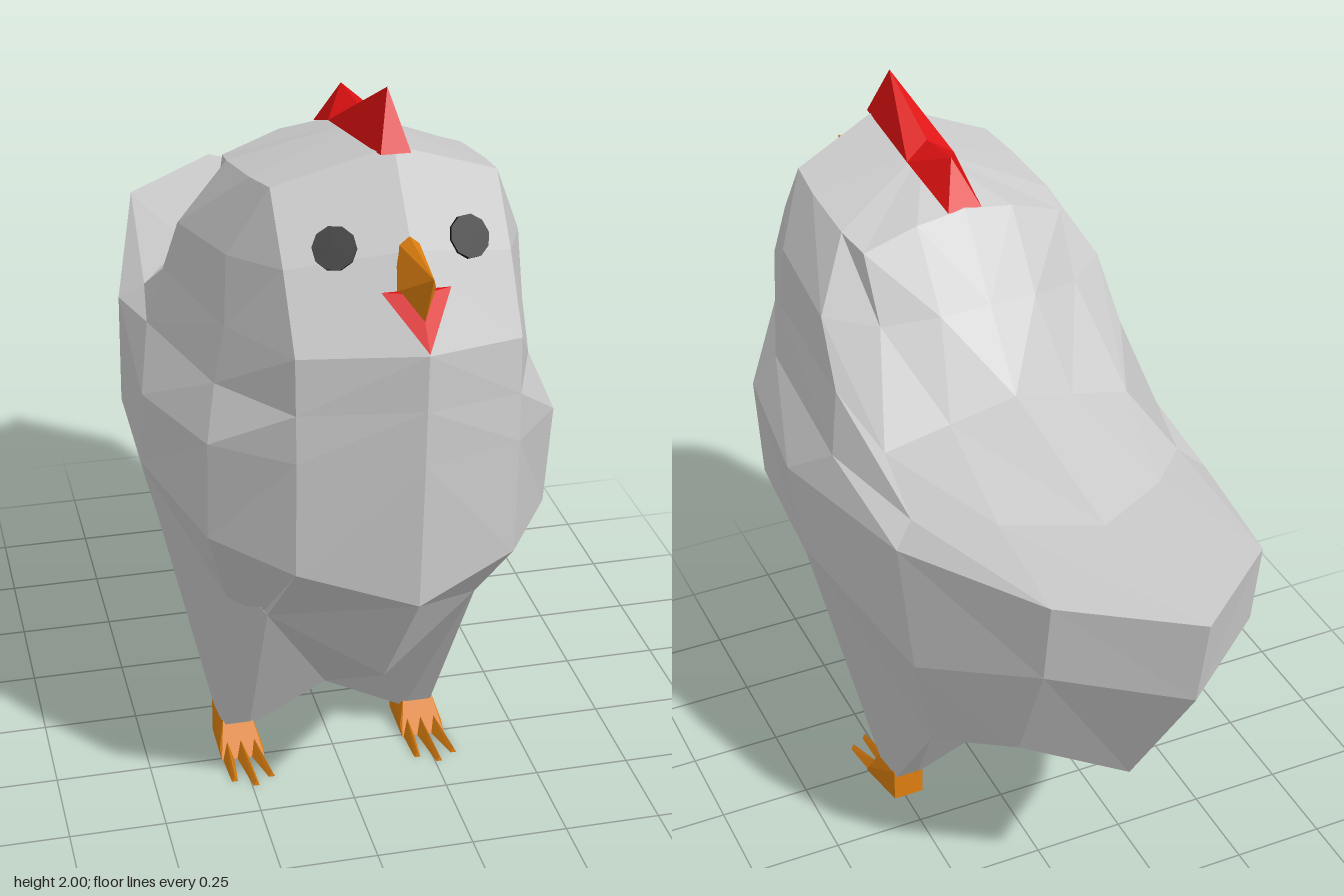
import * as THREE from 'three';
import { ConvexGeometry } from 'three/addons/geometries/ConvexGeometry.js';

const mat = (color) => new THREE.MeshStandardMaterial({ color, flatShading: true });
const grey = mat(0xcccccc), red = mat(0xdd1111), orange = mat(0xdd7f10), black = mat(0x111111);

// The bird turns slightly: the head leans to +x and the tail to -x
const place = ([x, y, z]) => new THREE.Vector3(x + 0.08 * z - 0.02, y, z);
const mirror = (points) => [...points, ...points.map(([x, y, z]) => [-x, y, z])];

function hull(name, points, material) {
  const mesh = new THREE.Mesh(new ConvexGeometry(points.map(place)), material);
  mesh.name = name;
  return mesh;
}

// One half cross-section, from front centre round the left side to back centre.
// The front panel has a constant width; the shoulder bulges between panel and flank.
function halfRing(front, panel, flank, haunch, rear, back) {
  const edge = [.265, ...panel];
  const bulge = flank[0] - edge[0];
  const shoulder = edge.map((v, k) => v + .4 * (flank[k] - v) + [.3, 0, .15][k] * bulge);
  return [[0, ...front], edge, shoulder, flank, haunch, rear, [0, ...back]];
}

// Cross-sections from belly to crown; centre and panel points are [y, z]
const rings = [
  halfRing([.48, .66], [.63, .56], [.27, .43, .29], [.33, .48, -.2], [.25, .67, -.52], [.58, -.63]),
  halfRing([.82, .9], [.88, .8], [.485, .9, .2], [.42, .83, -.3], [.28, 1.03, -.69], [1.02, -.9]),
  halfRing([1.2, .92], [1.18, .81], [.49, 1.12, .26], [.43, 1.16, -.24], [.28, 1.26, -.72], [1.27, -.94]),
  halfRing([1.34, .925], [1.3, .805], [.435, 1.24, .1], [.37, 1.21, -.2], [.22, 1.25, -.36], [1.26, -.48]),
  halfRing([1.48, .93], [1.44, .8], [.4, 1.4, .14], [.34, 1.28, 0], [.17, 1.33, -.02], [1.38, -.04]),
  halfRing([1.68, .8], [1.62, .71], [.385, 1.56, .24], [.27, 1.55, .15], [.13, 1.57, .1], [1.58, .09]),
  halfRing([1.88, .67], [1.78, .61], [.285, 1.74, .32], [.27, 1.72, .23], [.13, 1.77, .22], [1.79, .22]),
];

function bodyGeometry() {
  const full = rings.map((half) => [
    ...half,
    ...half.slice(1, -1).reverse().map(([x, y, z]) => [-x, y, z]),
  ].map(place));
  const n = full[0].length, tris = [];
  for (let r = 0; r < full.length - 1; r++) {
    for (let i = 0; i < n; i++) {
      const j = (i + 1) % n;
      const a = full[r][i], b = full[r][j], c = full[r + 1][j], d = full[r + 1][i];
      // diagonals mirror across the centre plane
      if (i < n / 2) tris.push(a, b, d, b, c, d);
      else tris.push(a, b, c, a, c, d);
    }
  }
  // close the belly and the crown
  const belly = place([0, .16, .18]), crown = place([0, 1.86, .44]);
  const low = full[0], top = full[full.length - 1];
  for (let i = 0; i < n; i++) {
    const j = (i + 1) % n;
    tris.push(low[j], low[i], belly, top[i], top[j], crown);
  }
  const geometry = new THREE.BufferGeometry().setFromPoints(tris);
  geometry.computeVertexNormals();
  return geometry;
}

function eye(side) {
  const mesh = new THREE.Mesh(new THREE.CylinderGeometry(.051, .051, .026, 10), black);
  mesh.name = side > 0 ? 'leftEye' : 'rightEye';
  const normal = new THREE.Vector3(side * .35, .62, 1).normalize();
  mesh.quaternion.setFromUnitVectors(new THREE.Vector3(0, 1, 0), normal);
  mesh.position.copy(place([side * .153, 1.67, .73]));
  return mesh;
}

function leg(side) {
  const group = new THREE.Group();
  group.name = side > 0 ? 'leftLeg' : 'rightLeg';
  const flip = (points) => points.map(([x, y, z]) => [side * x, y, z]);
  // pair of points either side of the foot's centre line
  const pair = (half, y, z) => [[.25 - half, y, z], [.25 + half, y, z]];

  // thigh: blends into the flank above, webs to the belly and tapers into the foot
  group.add(hull('thigh', flip([
    [.265, .63, .56], [.48, .89, .2], [.27, .43, .29], [.40, .57, .16], [.33, .48, -.2],
    [0, .16, .18], [.08, .137, .17], [.05, .27, 0],
    ...pair(.035, .06, .2), ...pair(.035, .06, .125),
  ]), grey));
  // ankle block
  group.add(hull('foot', flip([
    ...pair(.038, .1, .205), ...pair(.043, .1, .11),
    ...pair(.058, 0, .26), ...pair(.058, .025, .24), ...pair(.043, 0, .11),
  ]), orange));
  // three pointed toes
  for (const t of [-1, 0, 1]) {
    const x = .25 + t * .035, tip = .25 + t * .05, z = t ? .36 : .39;
    group.add(hull('toe', flip([
      [x - .018, 0, .22], [x + .018, 0, .22], [x, .045, .22],
      [tip - .008, 0, z], [tip + .008, 0, z], [tip, .015, z],
    ]), orange));
  }
  return group;
}

export function createModel() {
  const model = new THREE.Group();
  model.name = 'chicken';

  const body = new THREE.Mesh(bodyGeometry(), grey);
  body.name = 'body';
  model.add(body);

  for (const side of [1, -1]) model.add(eye(side), leg(side));

  model.add(hull('beak', [
    [0, 1.71, .77], ...mirror([[.045, 1.6, .835], [.025, 1.69, .77]]), [0, 1.525, .885], [0, 1.67, .945],
  ], orange));
  model.add(hull('wattle', [
    ...mirror([[.08, 1.6, .834]]), [0, 1.485, .932], [0, 1.6, .862], [0, 1.56, .78],
  ], red));

  // comb with a tall front spike and a low rear one
  model.add(hull('frontComb', [
    ...mirror([[.035, 1.865, .685], [.065, 1.85, .4]]), [0, 1.89, .42], [0, 2, .62],
  ], red));
  model.add(hull('rearComb', [
    ...mirror([[.065, 1.85, .4], [.045, 1.785, .22]]), [0, 1.89, .42], [0, 1.9, .29],
  ], red));

  return model;
}
